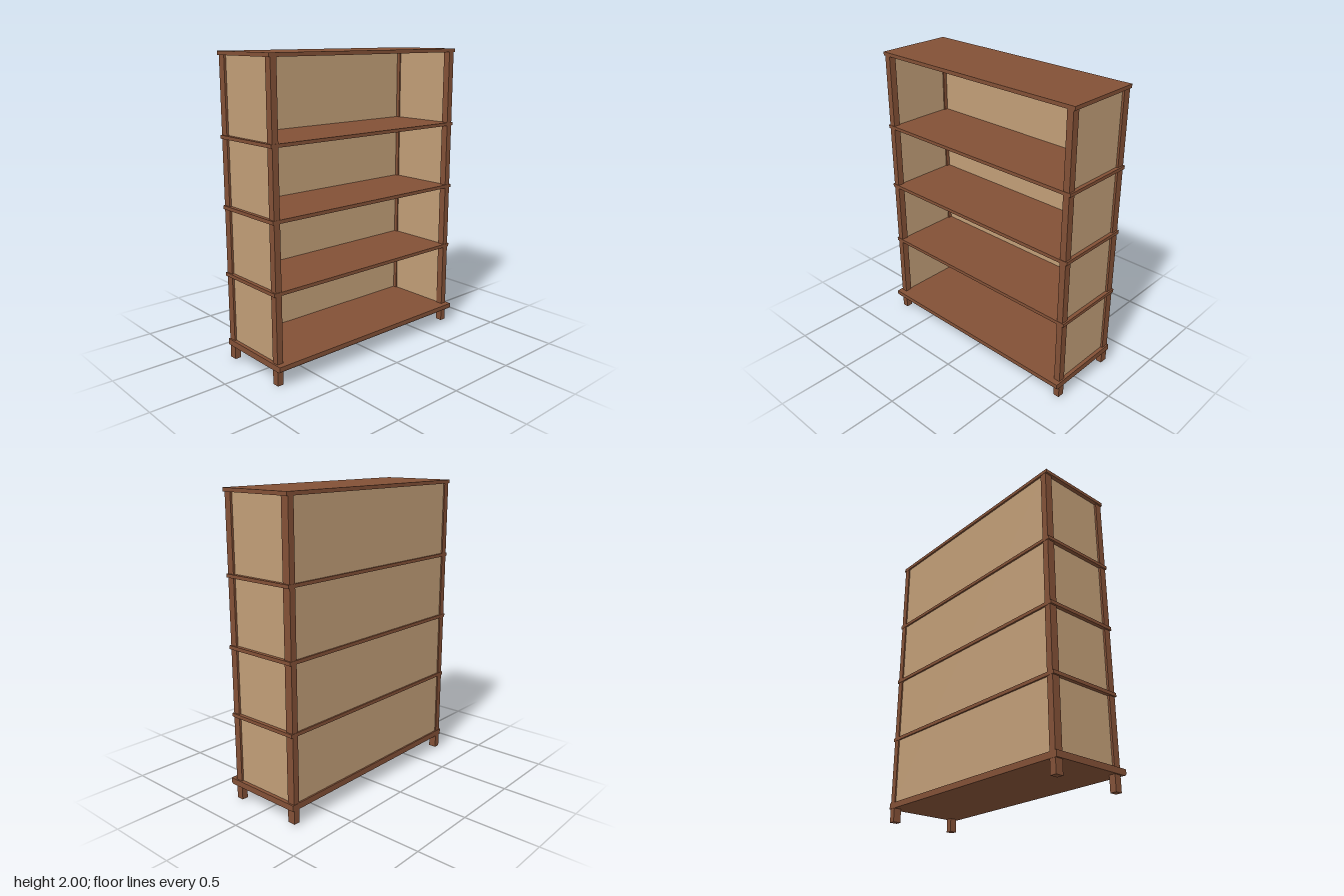
import * as THREE from 'three';

export function createModel() {
  const model = new THREE.Group();
  model.name = 'bookcase';
  const wood = new THREE.MeshStandardMaterial({ color: 0x825036 });
  wood.name = 'brown wood';
  const panel = new THREE.MeshStandardMaterial({ color: 0xc19e77 });
  panel.name = 'tan panel';

  // Box given by its lower and upper corners
  function box(name, material, [x0, y0, z0], [x1, y1, z1]) {
    const geometry = new THREE.BoxGeometry(x1 - x0, y1 - y0, z1 - z0);
    const mesh = new THREE.Mesh(geometry, material);
    mesh.position.set((x0 + x1) / 2, (y0 + y1) / 2, (z0 + z1) / 2);
    mesh.name = name;
    model.add(mesh);
  }

  const halfWidth = 0.785, back = -0.283, front = 0.246;

  // Shelves and top board: [bottom, top]
  const boards = [[0.58, 0.603], [1.024, 1.047], [1.471, 1.493], [1.976, 2]];
  boards.forEach(([y0, y1], i) => {
    box(i === 3 ? 'topBoard' : 'shelf' + (i + 1), wood, [-halfWidth, y0, back], [halfWidth, y1, front]);
  });

  // Base board with a rounded lower front edge; the outline is drawn in (-z, y)
  const outline = new THREE.Shape();
  outline.moveTo(-back, 0.103);
  outline.lineTo(-back, 0.143);
  outline.lineTo(-0.283, 0.143);
  outline.lineTo(-0.283, 0.119);
  outline.quadraticCurveTo(-0.281, 0.104, -0.266, 0.103);
  outline.closePath();
  const baseGeometry = new THREE.ExtrudeGeometry(outline, { depth: 2 * halfWidth, bevelEnabled: false, curveSegments: 4 });
  baseGeometry.translate(0, 0, -halfWidth).rotateY(Math.PI / 2);
  const base = new THREE.Mesh(baseGeometry, wood);
  base.name = 'baseBoard';
  model.add(base);

  // Corner posts running down into feet; one front foot is slightly longer
  for (const side of [-1, 1]) {
    const x0 = side < 0 ? -0.774 : 0.731;
    const frontFoot = side < 0 ? 0 : 0.012;
    box('frontPost', wood, [x0, frontFoot, 0.195], [x0 + 0.043, 1.98, 0.243]);
    box('backPost', wood, [x0, 0.012, -0.281], [x0 + 0.043, 1.98, -0.227]);

    // Side panel set in between the posts
    const panelX = side * 0.75;
    box('sidePanel', panel, [panelX - 0.01, 0.14, -0.24], [panelX + 0.01, 1.98, 0.21]);
  }

  // Back panel
  box('backPanel', panel, [-0.745, 0.14, -0.272], [0.745, 1.98, -0.254]);

  return model;
}
